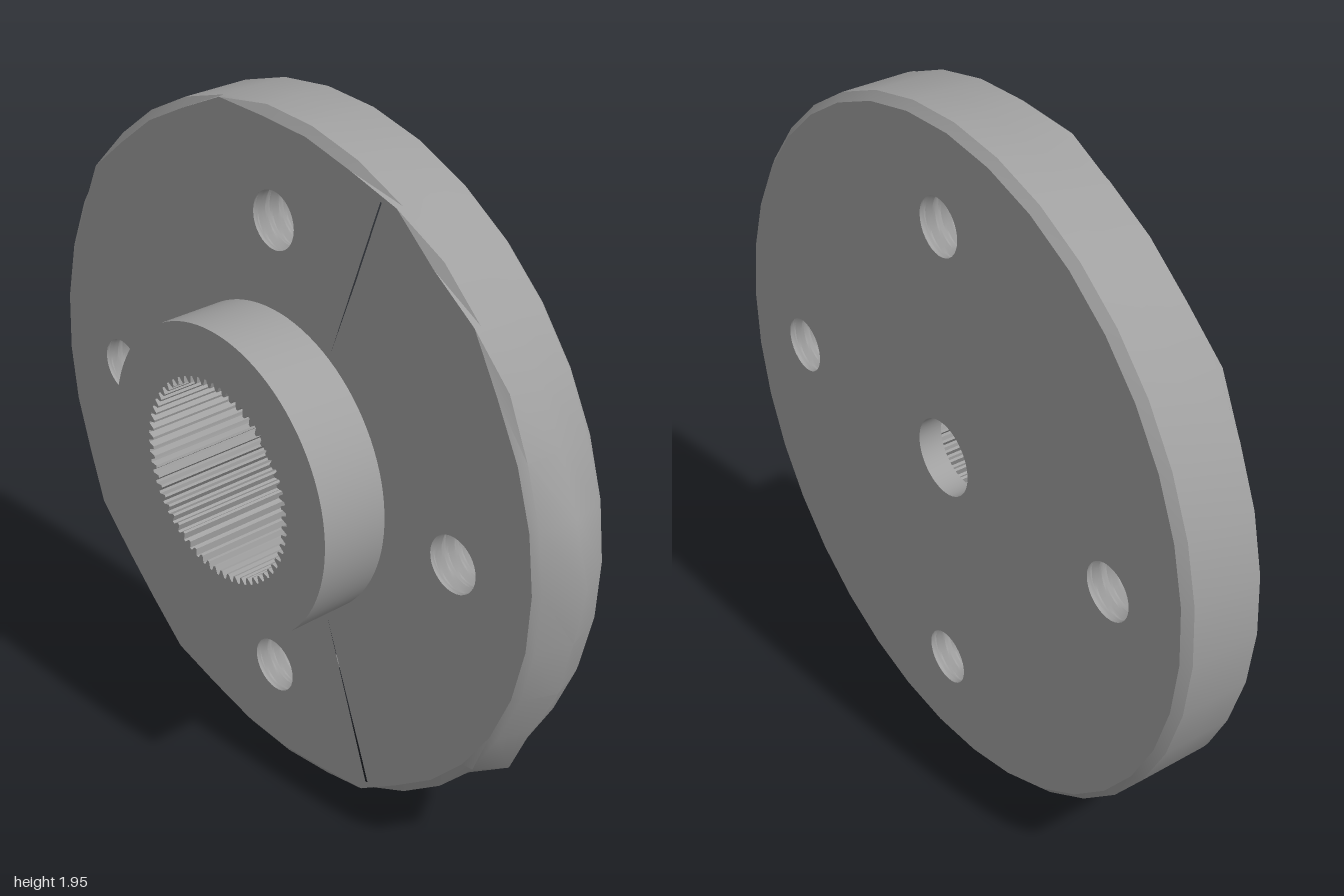
import * as THREE from 'three';
import { toCreasedNormals } from 'three/addons/utils/BufferGeometryUtils.js';

const CX = -0.02, CY = 0.983;                       // hub axis
const FRONT = 0.02, BACK = -0.22, BOSS = 0.22, FLOOR = -0.15;
const BOLT_CIRCLE = 0.687, BOLT_R = 0.08;

// Closed loop of [x, y] points; radius(i, angle) shapes it
function loop(n, radius, start = 0, cx = 0, cy = 0) {
  return Array.from({ length: n }, (_, i) => {
    const a = start + (i / n) * Math.PI * 2, r = radius(i, a);
    return [cx + r * Math.cos(a), cy + r * Math.sin(a)];
  });
}

// Skin between loops ordered from front to back; inward turns the faces inside
function skin(rings, inward = false, crease = 0.5) {
  const n = rings[0].points.length, pos = [], idx = [];
  for (const { points, z } of rings) for (const [x, y] of points) pos.push(x, y, z);
  for (let k = 0; k < rings.length - 1; k++) {
    for (let i = 0; i < n; i++) {
      const a = k * n + i, b = k * n + (i + 1) % n, c = a + n, d = b + n;
      if (inward) idx.push(a, b, c, b, d, c);
      else idx.push(a, c, b, b, c, d);
    }
  }
  const g = new THREE.BufferGeometry();
  g.setAttribute('position', new THREE.Float32BufferAttribute(pos, 3));
  g.setIndex(idx);
  return toCreasedNormals(g, crease);
}

// Flat plate with holes at depth z
function plate(outline, holes, z, facingBack = false) {
  const v = (pts) => pts.map(([x, y]) => new THREE.Vector2(x, y));
  const shape = new THREE.Shape(v(outline));
  shape.holes = holes.map((h) => new THREE.Path(v(h)));
  const g = new THREE.ShapeGeometry(shape);
  if (facingBack) {
    const ix = g.index.array;
    for (let i = 0; i < ix.length; i += 3) [ix[i], ix[i + 1]] = [ix[i + 1], ix[i]];
    g.computeVertexNormals();
  }
  return g.translate(0, 0, z);
}

export function createModel() {
  const root = new THREE.Group();
  root.name = 'splinedHub';
  const steel = new THREE.MeshStandardMaterial({ color: 0xa0a0a0 });
  steel.name = 'grey steel';
  const hub = new THREE.Group();
  hub.name = 'hub';
  hub.position.set(CX, CY, 0);
  root.add(hub);
  const add = (name, geometry) => {
    const m = new THREE.Mesh(geometry, steel);
    m.name = name;
    hub.add(m);
  };

  // Rough rim: uneven chamfers and two bulges on the left edge
  const N = 36, START = THREE.MathUtils.degToRad(2.6);
  const bulge = { 0: 1.021, 1: 0.992, 35: 0.998, 34: 0.999, 33: 0.99, 32: 1.02, 31: 0.985 };
  const sharp = [4, 6, 10, 14, 21, 24, 29];
  const nearSide = (i) => (i <= 2 || i >= 33 ? 0.968 : 0.978);
  const ring = (f) => loop(N, f, START);
  const frontLoop = ring((i) => (sharp.includes(i) ? 0.976 : 0.953));
  const backLoop = ring(() => 0.956);
  add('rim', skin([
    { points: frontLoop, z: FRONT },
    { points: ring(nearSide), z: 0.002 },
    { points: ring((i) => bulge[i] ?? 0.978), z: -0.1 },
    { points: ring(nearSide), z: -0.198 },
    { points: backLoop, z: BACK },
  ], false, 0.6));

  // Bolt holes in a cross
  const centres = [0, 1, 2, 3].map((k) => [
    BOLT_CIRCLE * Math.cos(k * Math.PI / 2), BOLT_CIRCLE * Math.sin(k * Math.PI / 2)]);
  const boltLoops = centres.map(([x, y]) => loop(32, () => BOLT_R, 0, x, y));

  // Two hairline grooves running in from the rim
  const grooves = [1, -1].map((s) => [
    [0.393, s * 0.866], [0.402, s * 0.862], [0.224, s * 0.4]]);

  const bossLoop = loop(96, () => 0.439);
  const centreLoop = loop(48, () => 0.11);
  add('frontFace', plate(frontLoop, [bossLoop, ...boltLoops, ...grooves], FRONT));
  add('backFace', plate(backLoop, [centreLoop, ...boltLoops], BACK, true));
  for (const g of grooves) add('grooveFloor', plate(g, [], FRONT - 0.006));

  // Threaded bolt hole walls: radius follows a helix, plain at both mouths
  const STEPS = 48, PITCH = 0.044;
  for (const [x, y] of centres) {
    const rings = [];
    for (let k = 0; k <= STEPS; k++) {
      const z = FRONT + (BACK - FRONT) * k / STEPS;
      const fade = Math.min(1, k / 4, (STEPS - k) / 4);
      rings.push({
        z,
        points: loop(32, (i) => {
          const t = (((z / PITCH + i / 32) % 1) + 1) % 1;
          return BOLT_R + 0.014 * fade * (1 - Math.abs(2 * t - 1));
        }, 0, x, y),
      });
    }
    add('threadedHole', skin(rings, true, 0.4));
  }

  // Boss with splined bore
  const TEETH = 60;
  const splineLoop = loop(TEETH * 4, (i) => (i % 4 < 2 ? 0.291 : 0.272));
  add('bossWall', skin([{ points: bossLoop, z: BOSS }, { points: bossLoop, z: FRONT }]));
  add('bossFace', plate(bossLoop, [splineLoop], BOSS));
  add('splineBore', skin(
    [{ points: splineLoop, z: BOSS }, { points: splineLoop, z: FLOOR }], true, 0.3));
  add('boreFloor', plate(splineLoop, [centreLoop], FLOOR));
  add('centreHole', skin(
    [{ points: centreLoop, z: FLOOR }, { points: centreLoop, z: BACK }], true));

  return root;
}
